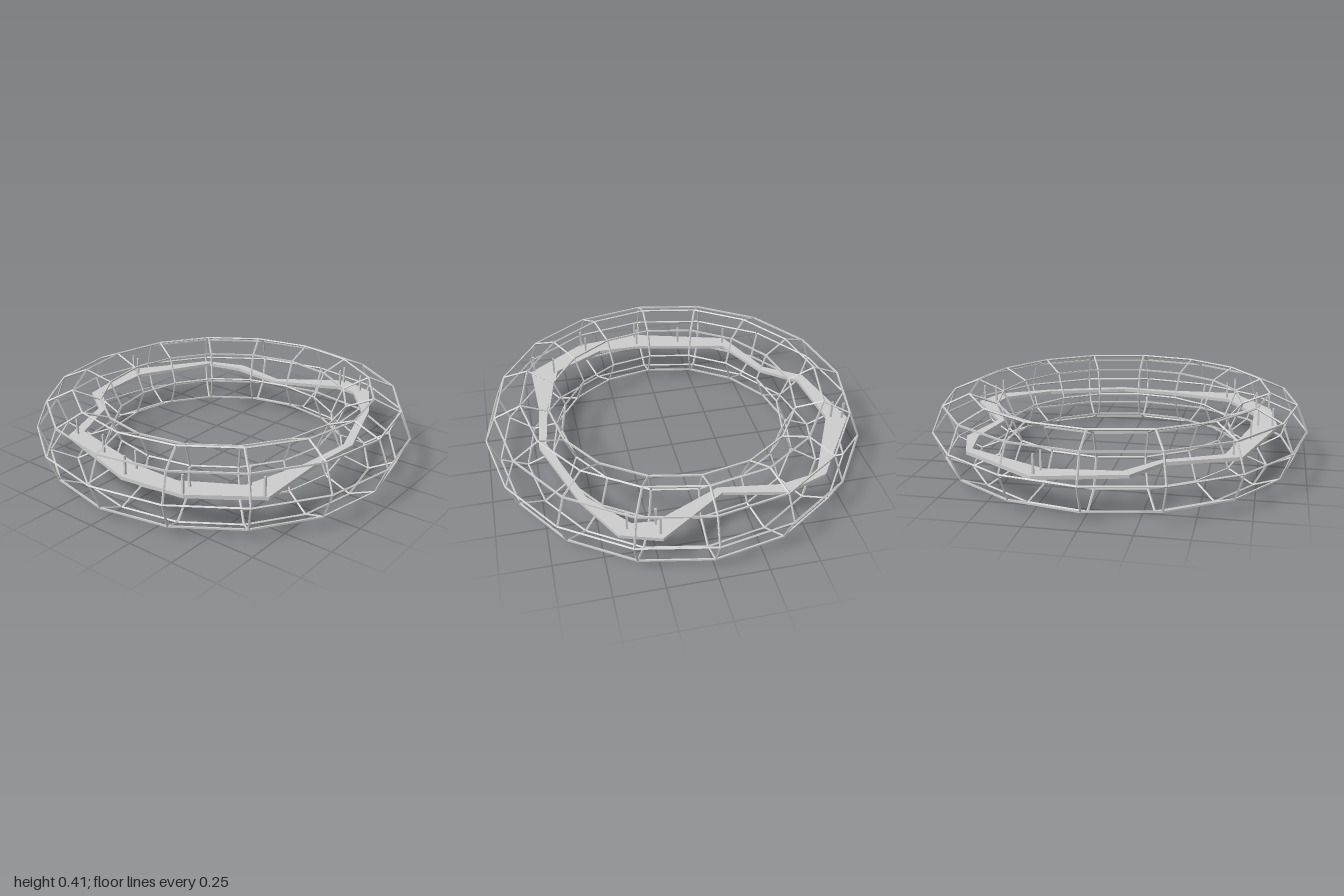
import * as THREE from 'three';

const R = 0.796, r = 0.198, CY = 0.204; // torus radii, centre height
const WIRE = 0.006; // half diagonal of the wire section
const RINGS = 8, HOOPS = 16;

const grey = new THREE.MeshStandardMaterial({ color: 0xcccccc, flatShading: true });

// Four-sided wire loop: a diamond section at (x, y), turned by angle a, swept around the y axis
function wireLoop(x, y, a, sides) {
  const corners = [0, 1, 2, 3, 4].map((k) => {
    const t = a + k * Math.PI / 2;
    return new THREE.Vector2(x + WIRE * Math.cos(t), y + WIRE * Math.sin(t));
  });
  return new THREE.LatheGeometry(corners, sides);
}

function add(parent, name, geometry) {
  const mesh = new THREE.Mesh(geometry, grey);
  mesh.name = name;
  parent.add(mesh);
  return mesh;
}

// Track stations: outer x, z, then inner x, z
const stations = [
  [0.23, -0.92, 0.20, -0.81], [0.637, -0.642, 0.62, -0.60], [0.72, -0.41, 0.66, -0.40],
  [0.655, -0.105, 0.615, -0.09], [0.89, 0.24, 0.775, 0.255], [0.825, 0.435, 0.76, 0.365],
  [0.56, 0.58, 0.54, 0.545], [0.12, 0.73, 0.10, 0.69], [-0.20, 0.70, -0.20, 0.655],
  [-0.575, 0.71, -0.55, 0.56], [-0.80, 0.395, -0.71, 0.285], [-0.843, 0.055, -0.71, 0.055],
  [-0.685, -0.48, -0.60, -0.455], [-0.33, -0.625, -0.305, -0.595], [-0.20, -0.82, -0.16, -0.775],
];

const posts = [
  [0.205, -0.835], [0.225, -0.89], [-0.64, -0.46], [-0.71, -0.195], [-0.815, 0.055],
  [-0.74, 0.055], [-0.79, 0.39], [-0.72, 0.37], [-0.58, 0.69], [-0.54, 0.58],
  [0.79, 0.255], [0.855, 0.245], [0.79, 0.39],
];

// Thin closed slab between the outer and inner outlines; the hole runs the opposite way round
function trackGeometry(bottom, thickness) {
  const outer = stations.map(([x, z]) => new THREE.Vector2(x, -z)).reverse();
  const inner = stations.map(([, , x, z]) => new THREE.Vector2(x, -z));
  const shape = new THREE.Shape(outer);
  shape.holes.push(new THREE.Path(inner));
  return new THREE.ExtrudeGeometry(shape, { depth: thickness, bevelEnabled: false })
    .rotateX(-Math.PI / 2).translate(0, bottom, 0);
}

export function createModel() {
  const model = new THREE.Group();
  model.name = 'cagedRingTrack';

  // Wire cage: long rings around the torus
  const cage = new THREE.Group();
  cage.name = 'wireCage';
  model.add(cage);
  for (let i = 0; i < RINGS; i++) {
    const a = i * 2 * Math.PI / RINGS;
    const g = wireLoop(R + r * Math.cos(a), r * Math.sin(a), a, HOOPS);
    add(cage, 'longRing', g).position.y = CY;
  }

  // Wire cage: octagonal hoops around the tube
  const hoopGeometry = wireLoop(r, 0, 0, RINGS).rotateX(Math.PI / 2).translate(R, CY, 0);
  for (let i = 0; i < HOOPS; i++) {
    add(cage, 'hoop', hoopGeometry).rotation.y = i * 2 * Math.PI / HOOPS;
  }

  // Winding track inside the cage
  add(model, 'track', trackGeometry(0.192, 0.018));

  // Thin posts standing on the track
  const postGeometry = new THREE.BoxGeometry(0.01, 0.111, 0.01).translate(0, 0.2515, 0);
  for (const [x, z] of posts) add(model, 'post', postGeometry).position.set(x, 0, z);

  return model;
}
